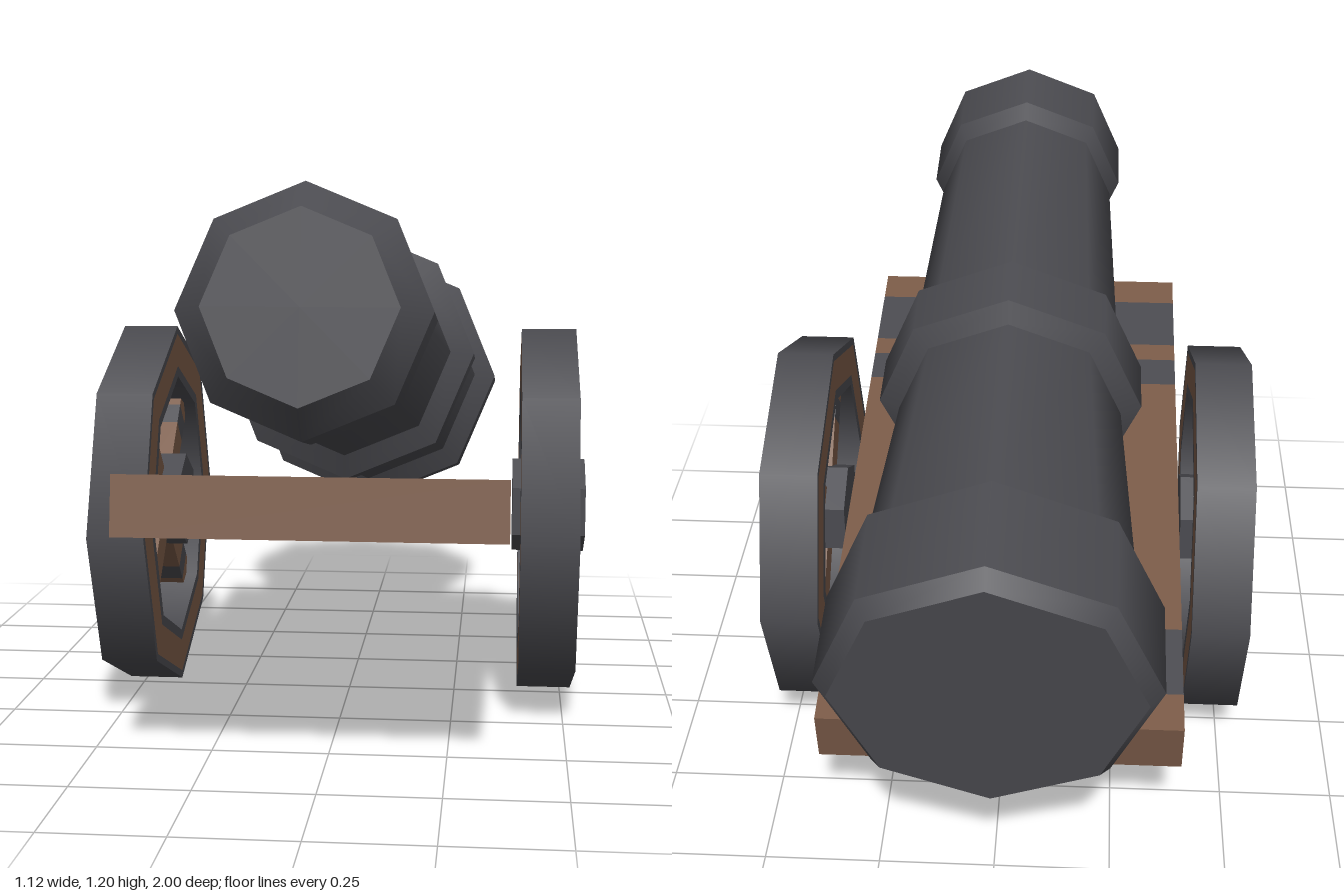
import * as THREE from 'three';
import { mergeGeometries } from 'three/addons/utils/BufferGeometryUtils.js';

const TILT = -0.178; // barrel and bed rise towards the front

export function createModel() {
  const iron = new THREE.MeshStandardMaterial({ color: 0x4b4b50, side: THREE.DoubleSide });
  iron.name = 'iron grey';
  const wood = new THREE.MeshStandardMaterial({ color: 0x7a5a47, side: THREE.DoubleSide });
  wood.name = 'wood brown';

  const model = new THREE.Group();
  model.name = 'cannon';

  function add(parent, name, geometry, material) {
    const mesh = new THREE.Mesh(geometry, material);
    mesh.name = name;
    parent.add(mesh);
    return mesh;
  }

  // Barrel: eight-sided bands, [distance behind the muzzle, radius]
  const profile = [
    [0, 0.18], [0.068, 0.237], [0.226, 0.237], [0.273, 0.214],
    [0.925, 0.24], [0.962, 0.293], [1.098, 0.293], [1.123, 0.247],
    [1.649, 0.284], [1.694, 0.337], [1.91, 0.337], [1.944, 0.307],
  ];
  const bands = [];
  for (let i = 0; i < profile.length - 1; i++) {
    const [s0, r0] = profile[i], [s1, r1] = profile[i + 1];
    bands.push(new THREE.CylinderGeometry(r0, r1, s1 - s0, 8, 1, true)
      .rotateX(Math.PI / 2).translate(0, 0, -(s0 + s1) / 2));
  }
  bands.push(new THREE.CircleGeometry(0.18, 8));
  bands.push(new THREE.CircleGeometry(0.307, 8).rotateY(Math.PI).translate(0, 0, -1.944));
  const barrel = add(model, 'barrel', mergeGeometries(bands), iron);
  barrel.position.set(-0.003, 0.978, 0.972);
  barrel.rotation.x = TILT;

  // Bed: a shallow tray open underneath, with iron straps
  const bed = new THREE.Group();
  bed.name = 'bed';
  bed.position.set(-0.01, 0.506, 0.03);
  bed.rotation.x = TILT;
  model.add(bed);
  const W = 0.77, T = 0.122, L = 1.51;
  // [front z, back z, top material, side material]
  const sections = [
    [L / 2, 0.665, wood, wood], [0.665, 0.49, iron, iron], [0.49, 0.43, wood, wood],
    [0.43, 0.335, iron, wood], [0.335, -0.48, wood, wood],
    [-0.48, -0.66, iron, iron], [-0.66, -L / 2, wood, wood],
  ];
  for (const [z0, z1, topMat, sideMat] of sections) {
    const len = z0 - z1, mid = (z0 + z1) / 2;
    add(bed, 'bedTop', new THREE.PlaneGeometry(W, len).rotateX(-Math.PI / 2).translate(0, 0, mid), topMat);
    for (const side of [-1, 1]) {
      add(bed, 'bedSide', new THREE.PlaneGeometry(len, T).rotateY(side * Math.PI / 2)
        .translate(side * W / 2, -T / 2, mid), sideMat);
    }
  }
  add(bed, 'bedFront', new THREE.PlaneGeometry(W, T).translate(0, -T / 2, L / 2), wood);
  add(bed, 'bedBack', new THREE.PlaneGeometry(W, T).rotateY(Math.PI).translate(0, -T / 2, -L / 2), wood);

  // Wheels: octagonal rims, diagonal spokes and six-sided hubs
  const R = 0.43, INNER = 0.31, DEPTH = 0.126;
  const tube = (r) => new THREE.CylinderGeometry(r, r, DEPTH, 8, 1, true).rotateZ(Math.PI / 2);
  const faces = (inner, outer) => mergeGeometries([-1, 1].map((s) =>
    new THREE.RingGeometry(inner, outer, 8).rotateY(s * Math.PI / 2).translate(s * DEPTH / 2, 0, 0)));
  // inner wall faces the hub
  const innerWall = tube(INNER);
  const idx = innerWall.index.array;
  for (let i = 0; i < idx.length; i += 3) [idx[i], idx[i + 1]] = [idx[i + 1], idx[i]];
  const normals = innerWall.attributes.normal.array;
  for (let i = 0; i < normals.length; i++) normals[i] *= -1;

  for (const side of [-1, 1]) {
    const wheel = new THREE.Group();
    wheel.name = side > 0 ? 'leftWheel' : 'rightWheel';
    wheel.position.set(-0.0075 + side * 0.47, R, -0.042);
    model.add(wheel);
    add(wheel, 'tread', tube(R), iron);
    add(wheel, 'innerWall', innerWall, iron);
    add(wheel, 'rimEdge', faces(0.412, R), iron);
    add(wheel, 'rimFace', faces(0.335, 0.412), wood);
    add(wheel, 'rimLip', faces(INNER, 0.335), iron);

    const hub = new THREE.CylinderGeometry(0.11, 0.11, 0.168, 6, 1, false, Math.PI / 2)
      .rotateZ(Math.PI / 2).toNonIndexed();
    hub.computeVertexNormals();
    add(wheel, 'hub', hub, iron).position.set(side * 0.004, 0.014, 0);

    for (let k = 0; k < 4; k++) {
      const spoke = new THREE.Group();
      spoke.name = 'spoke';
      spoke.rotation.x = Math.PI / 4 + k * Math.PI / 2;
      wheel.add(spoke);
      for (const [a, b, mat] of [[0.05, 0.22, wood], [0.22, 0.275, iron], [0.275, 0.31, wood]]) {
        add(spoke, 'spokeSection', new THREE.BoxGeometry(0.07, b - a, 0.075)
          .translate(0, (a + b) / 2, 0), mat);
      }
    }
  }
  return model;
}
